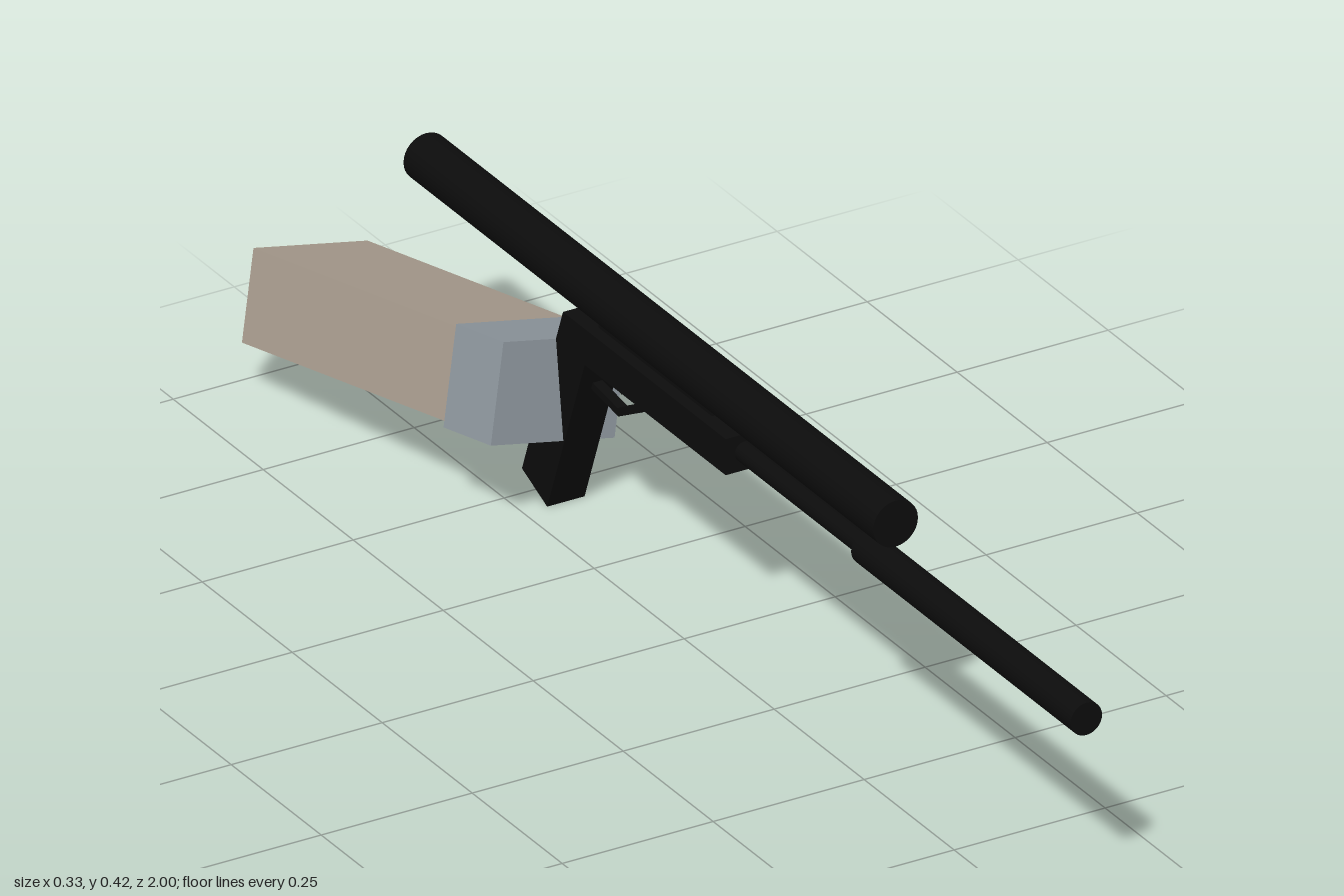
import * as THREE from 'three';

export function createModel() {
  const model = new THREE.Group();
  const mat = (name, color) => {
    const m = new THREE.MeshStandardMaterial({ color });
    m.name = name;
    return m;
  };
  const black = mat('black metal', 0x0c0c0c);
  const blueGrey = mat('blue grey glove', 0x8e979e);
  const tan = mat('tan sleeve', 0xa89c8e);

  const add = (parent, name, geometry, material) => {
    const mesh = new THREE.Mesh(geometry, material);
    mesh.name = name;
    parent.add(mesh);
    return mesh;
  };

  // Gun parts share one centre plane, x = 0 inside this group
  const gun = new THREE.Group();
  gun.name = 'gun';
  gun.position.x = 0.07;
  model.add(gun);

  const rod = (name, radius, y, z0, z1) => {
    const g = new THREE.CylinderGeometry(radius, radius, z1 - z0, 32).rotateX(Math.PI / 2);
    add(gun, name, g, black).position.set(0, y, (z0 + z1) / 2);
  };
  const block = (name, width, y0, y1, z0, z1) => {
    const g = new THREE.BoxGeometry(width, y1 - y0, z1 - z0);
    add(gun, name, g, black).position.set(0, (y0 + y1) / 2, (z0 + z1) / 2);
  };

  rod('scope', 0.037, 0.379, -0.835, 0.47);
  rod('barrel', 0.016, 0.305, 0.03, 0.4);
  rod('muzzle', 0.026, 0.305, 0.39, 1.0);
  block('receiver', 0.062, 0.275, 0.333, -0.4, 0.05);
  block('scopeMount', 0.024, 0.325, 0.355, -0.335, -0.02);

  // Raked grip: side profile given as (z, y), extruded across x
  const profile = [[-0.32, 0.333], [-0.446, 0], [-0.516, 0.03], [-0.402, 0.333]];
  const shape = new THREE.Shape(profile.map(([z, y]) => new THREE.Vector2(-z, y)));
  const gripGeometry = new THREE.ExtrudeGeometry(shape, { depth: 0.062, bevelEnabled: false });
  gripGeometry.translate(0, 0, -0.031).rotateY(Math.PI / 2);
  add(gun, 'grip', gripGeometry, black);

  // Flat bars following a path of (z, y) points
  const bars = (name, path, thickness) => {
    for (let i = 0; i < path.length - 1; i++) {
      const [z0, y0] = path[i], [z1, y1] = path[i + 1];
      const g = new THREE.BoxGeometry(0.016, thickness, Math.hypot(z1 - z0, y1 - y0) + thickness * 0.4);
      const bar = add(gun, name, g, black);
      bar.position.set(0, (y0 + y1) / 2, (z0 + z1) / 2);
      bar.rotation.x = -Math.atan2(y1 - y0, z1 - z0);
    }
  };
  bars('triggerGuard', [[-0.215, 0.28], [-0.228, 0.25], [-0.288, 0.217], [-0.38, 0.23]], 0.012);
  bars('trigger', [[-0.31, 0.285], [-0.295, 0.27], [-0.277, 0.256]], 0.012);

  // Arm: boxes in a tilted frame whose origin is the front lower right corner of the hand
  const back = new THREE.Vector3(-0.148, -0.129, -0.981).normalize();
  const zAxis = back.clone().negate();
  const across = new THREE.Vector3(0.22, -0.058, -0.0256);
  const yAxis = new THREE.Vector3().crossVectors(zAxis, across).normalize();
  const xAxis = new THREE.Vector3().crossVectors(yAxis, zAxis);
  const arm = new THREE.Group();
  arm.name = 'arm';
  arm.quaternion.setFromRotationMatrix(new THREE.Matrix4().makeBasis(xAxis, yAxis, zAxis));
  arm.position.set(-0.09, 0.16, -0.386);
  model.add(arm);

  const hand = new THREE.BoxGeometry(0.229, 0.152, 0.107);
  add(arm, 'hand', hand, blueGrey).position.set(0.1145, 0.076, -0.0535);
  const forearm = new THREE.BoxGeometry(0.211, 0.139, 0.475);
  add(arm, 'forearm', forearm, tan).position.set(0.1145, 0.076, -0.3375);

  return model;
}
